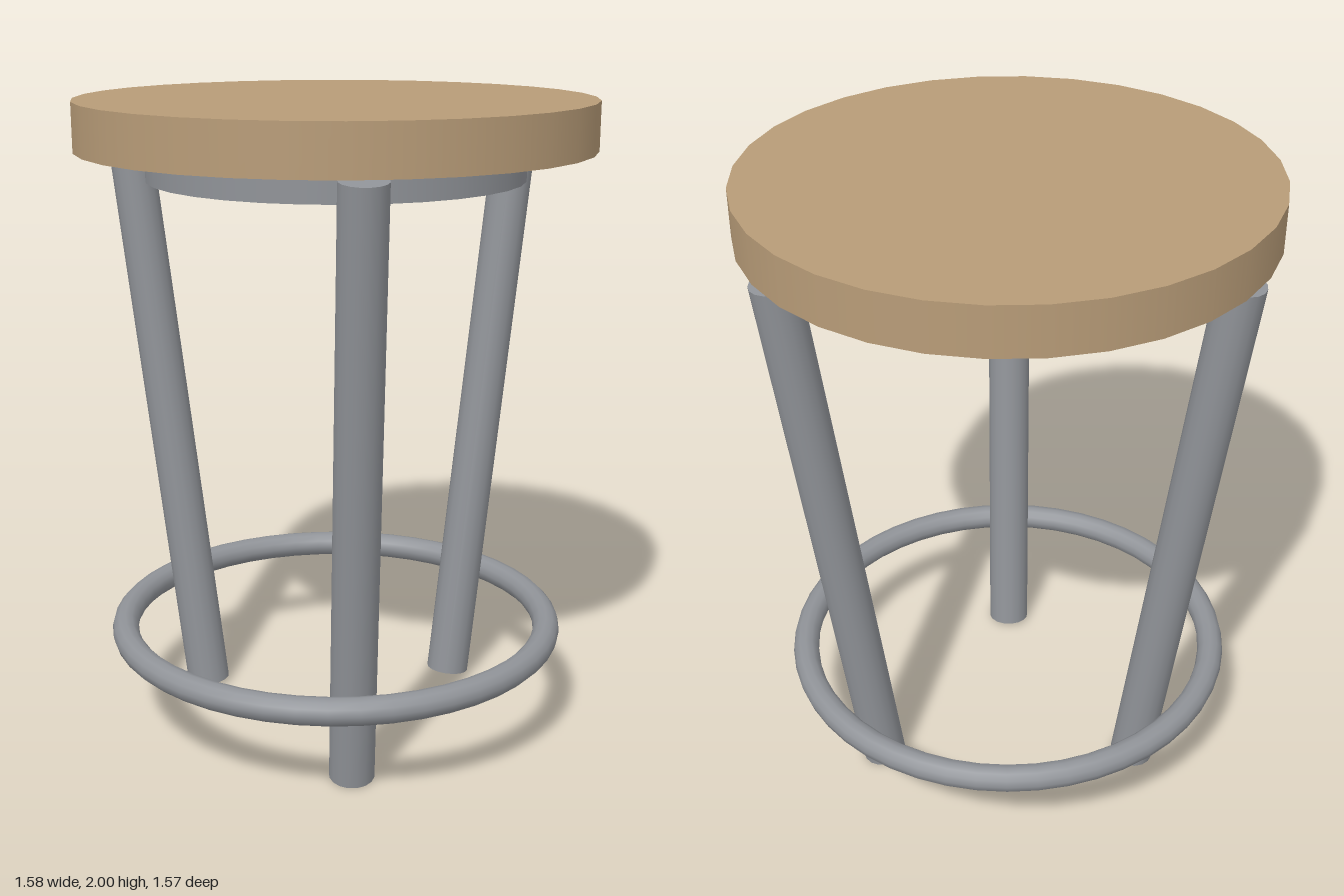
import * as THREE from 'three';

const CENTRE_X = -0.008; // seat axis, offset so the three legs balance the bounds

export function createModel() {
  const model = new THREE.Group();
  model.name = 'stool';

  const wood = new THREE.MeshStandardMaterial({ color: 0xb89c78 });
  wood.name = 'wood';
  const metal = new THREE.MeshStandardMaterial({ color: 0x909398 });
  metal.name = 'grey metal';

  const add = (name, geometry, material, y) => {
    const mesh = new THREE.Mesh(geometry, material);
    mesh.name = name;
    mesh.position.set(CENTRE_X, y, 0);
    model.add(mesh);
    return mesh;
  };

  // Round seat and the plate beneath it
  add('seat', new THREE.CylinderGeometry(0.786, 0.786, 0.148, 32), wood, 1.926);
  add('seatPlate', new THREE.CylinderGeometry(0.576, 0.576, 0.092, 32), metal, 1.806);

  // Foot ring
  const ring = new THREE.TorusGeometry(0.685, 0.042, 12, 48).rotateX(Math.PI / 2);
  add('footRing', ring, metal, 0.322);

  // Three legs splaying outward toward the seat
  const up = new THREE.Vector3(0, 1, 0);
  for (let i = 0; i < 3; i++) {
    const a = (i * Math.PI * 2) / 3;
    const at = (r, y) => new THREE.Vector3(r * Math.cos(a), y, r * Math.sin(a));
    const foot = at(0.483, 0.009);
    const top = at(0.725, 1.843);
    const axis = top.clone().sub(foot);
    const geometry = new THREE.CylinderGeometry(0.07, 0.07, axis.length(), 16);
    const leg = add('leg' + (i + 1), geometry, metal, 0);
    leg.position.add(foot.add(top).multiplyScalar(0.5));
    leg.quaternion.setFromUnitVectors(up, axis.normalize());
  }

  return model;
}
